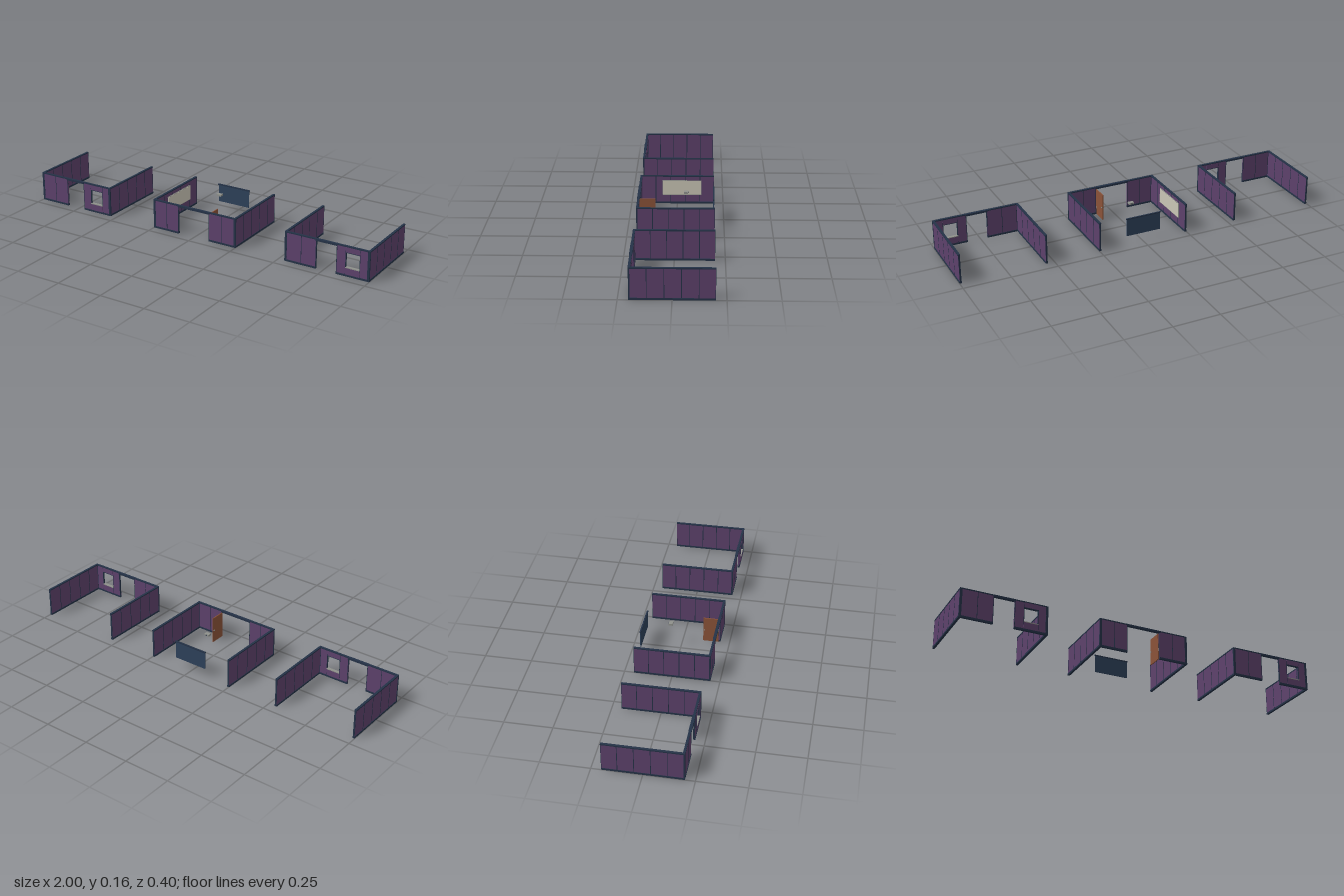
import * as THREE from 'three';

const mat = (name, color) => {
  const m = new THREE.MeshStandardMaterial({ color });
  m.name = name;
  return m;
};

export function createModel() {
  const purple = mat('purple panel', 0x5d416b);
  const navy = mat('navy trim', 0x243247);
  const slate = mat('slate board', 0x2d4059);
  const cream = mat('cream board', 0xc9c5b5);
  const brown = mat('brown door', 0x8a5238);
  const grey = mat('grey fitting', 0x8f918c);

  const H = 0.16, BASE = 0.01, CAP = 0.154, T = 0.008;
  const model = new THREE.Group();
  model.name = 'classroomWalls';

  // Box given by its limits on each axis
  const block = (parent, name, m, x0, x1, y0, y1, z0, z1) => {
    const mesh = new THREE.Mesh(new THREE.BoxGeometry(x1 - x0, y1 - y0, z1 - z0), m);
    mesh.name = name;
    mesh.position.set((x0 + x1) / 2, (y0 + y1) / 2, (z0 + z1) / 2);
    parent.add(mesh);
    return mesh;
  };
  const group = (name) => {
    const g = new THREE.Group();
    g.name = name;
    model.add(g);
    return g;
  };

  // Side wall: five panels with seams, skirting and cap
  const sideWall = (room, cx) => {
    const span = (name, m, half, y0, y1, z0, z1) =>
      block(room, name, m, cx - half, cx + half, y0, y1, z0, z1);
    span('sidePanel', purple, T / 2, BASE, CAP, -0.199, 0.196);
    span('sideSkirting', navy, 0.006, 0, BASE, -0.2, 0.2);
    span('sideCap', navy, 0.006, CAP, H, -0.2, 0.2);
    span('cornerPost', navy, 0.0055, BASE, CAP, 0.193, 0.2);
    span('endTrim', navy, 0.0045, BASE, CAP, -0.2, -0.198);
    for (let i = 0; i < 4; i++) {
      const z = 0.117 - i * 0.08;
      span('sideSeam', navy, 0.0046, BASE, CAP, z - 0.0018, z + 0.0018);
    }
  };

  const ZF = 0.195;
  const front = (room, name, m, half, x0, x1, y0, y1) =>
    block(room, name, m, x0, x1, y0, y1, ZF - half, ZF + half);
  const seam = (room, x, y0 = BASE, y1 = CAP) =>
    front(room, 'frontSeam', navy, 0.0046, x - 0.0015, x + 0.0015, y0, y1);

  // Solid stretch of front wall with a seam in the middle
  const frontStretch = (room, x0, x1) => {
    front(room, 'frontPanel', purple, T / 2, x0, x1, BASE, CAP);
    front(room, 'frontSkirting', navy, 0.0058, x0, x1, 0, BASE);
    seam(room, (x0 + x1) / 2);
    seam(room, x0 + 0.0015);
    seam(room, x1 - 0.0015);
  };

  // Stretch of front wall with a window
  const windowStretch = (room, x0, x1, w0, w1) => {
    const y0 = 0.048, y1 = 0.125;
    front(room, 'windowSidePanel', purple, T / 2, x0, w0, BASE, CAP);
    front(room, 'windowSidePanel', purple, T / 2, w1, x1, BASE, CAP);
    front(room, 'windowLowerPanel', purple, 0.006, w0, w1, BASE, y0);
    front(room, 'windowUpperPanel', purple, 0.006, w0, w1, y1, CAP);
    front(room, 'frontSkirting', navy, 0.0058, x0, x1, 0, BASE);
    [x0 + 0.0015, w0, w1, x1 - 0.0015].forEach((x) => seam(room, x));
    front(room, 'windowHead', navy, 0.0065, w0, w1, y1 - 0.001, y1 + 0.002);
    front(room, 'windowSill', grey, 0.008, w0, w1, y0 - 0.003, y0 + 0.001);
  };

  // Header over a doorway
  const header = (room, x0, x1) =>
    front(room, 'doorHeader', navy, 0.0075, x0 - 0.004, x1 + 0.004, 0.149, H - 0.0005);

  // Two matching outer rooms with a doorway and a window
  [[-1, 'rightRoom'], [0.535, 'leftRoom']].forEach(([x, name]) => {
    const room = group(name), w = 0.465;
    sideWall(room, x + 0.006);
    sideWall(room, x + w - 0.006);
    frontStretch(room, x + 0.01, x + 0.176);
    windowStretch(room, x + 0.286, x + w - 0.01, x + 0.336, x + 0.412);
    front(room, 'frontCap', navy, 0.0058, x + 0.01, x + w - 0.01, CAP, H);
    header(room, x + 0.176, x + 0.286);
  });

  // Middle room with a wide doorway
  const mid = group('middleRoom');
  sideWall(mid, -0.246);
  sideWall(mid, 0.246);
  frontStretch(mid, -0.242, -0.095);
  frontStretch(mid, 0.09, 0.242);
  front(mid, 'frontCap', navy, 0.0058, -0.242, 0.242, CAP, H);
  header(mid, -0.095, 0.09);

  // Open door leaf with handles
  block(mid, 'doorLeaf', brown, 0.085, 0.09, 0.002, 0.148, 0.108, 0.19);
  block(mid, 'doorHandle', grey, 0.081, 0.094, 0.07, 0.075, 0.112, 0.118);

  // Pale writing board on the side wall
  block(mid, 'boardFrame', grey, -0.242, -0.2385, 0.05, 0.134, -0.132, 0.082);
  block(mid, 'writingBoard', cream, -0.239, -0.2375, 0.053, 0.131, -0.129, 0.079);

  // Free-hanging screen at the back
  block(mid, 'screen', slate, -0.095, 0.095, 0.05, 0.146, -0.198, -0.194);
  block(mid, 'screenRail', navy, -0.098, 0.098, 0.144, 0.15, -0.2, -0.192);

  // Ceiling projector with a round lens
  block(mid, 'projector', grey, -0.014, 0.014, 0.149, 0.159, -0.061, -0.04);
  const lens = new THREE.Mesh(new THREE.CylinderGeometry(0.003, 0.003, 0.004, 12), navy);
  lens.name = 'projectorLens';
  lens.rotation.x = Math.PI / 2;
  lens.position.set(0, 0.154, -0.062);
  mid.add(lens);

  return model;
}
